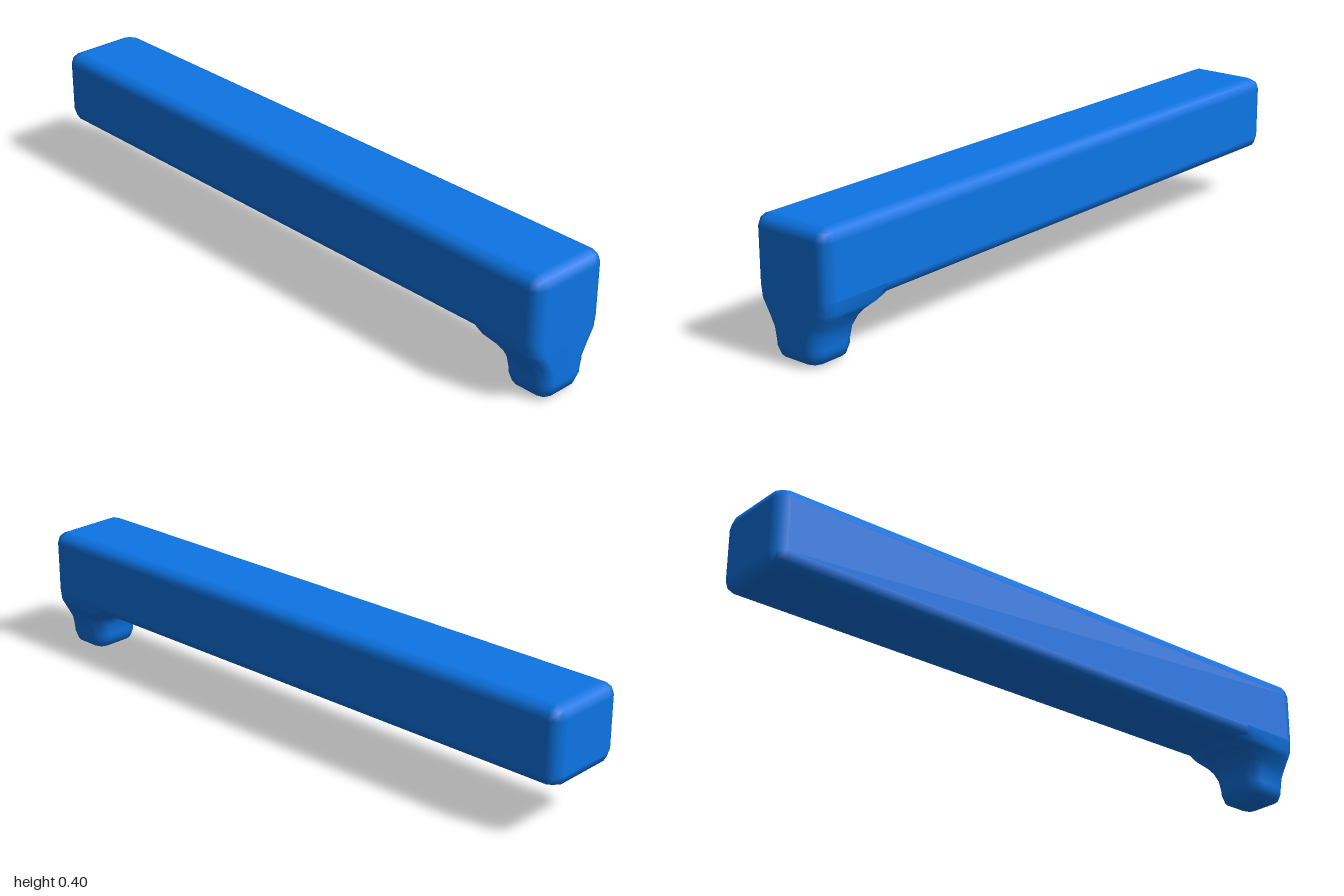
import * as THREE from 'three';
import { RoundedBoxGeometry } from 'three/addons/geometries/RoundedBoxGeometry.js';

// Rows of the foot from top to bottom: y, half width, back z, front z, front and back corner radius
const FOOT_ROWS = [
  [0.198, 0.133, 0.70, 1, 0.038, 0.08],
  [0.16, 0.128, 0.74, 1, 0.038, 0.075],
  [0.145, 0.119, 0.79, 1, 0.038, 0.065],
  [0.118, 0.103, 0.832, 1, 0.038, 0.05],
  [0.088, 0.087, 0.845, 1, 0.038, 0.04],
  [0.052, 0.081, 0.85, 1, 0.038, 0.038],
  [0.038, 0.08, 0.85, 1, 0.038, 0.038],
  [0.012, 0.07, 0.861, 0.989, 0.027, 0.027],
  [0, 0.042, 0.888, 0.962, 0.004, 0.004],
];

// Rounded rectangle in plan, two segments per corner
function section([y, w, back, front, rf, rb]) {
  const corners = [
    [w - rf, front - rf, rf, 0],
    [-w + rf, front - rf, rf, 1],
    [-w + rb, back + rb, rb, 2],
    [w - rb, back + rb, rb, 3],
  ];
  const points = [];
  for (const [cx, cz, r, quarter] of corners) {
    for (let i = 0; i <= 2; i++) {
      const a = (quarter + i / 2) * Math.PI / 2;
      points.push([cx + r * Math.cos(a), y, cz + r * Math.sin(a)]);
    }
  }
  return points;
}

// Skin over a stack of sections, closed at the bottom
function loft(rows) {
  const rings = rows.map(section);
  const n = rings[0].length;
  const index = [];
  for (let j = 0; j < rings.length - 1; j++) {
    for (let i = 0; i < n; i++) {
      const a = j * n + i, b = j * n + (i + 1) % n;
      index.push(a, b, a + n, b, b + n, a + n);
    }
  }
  const last = (rings.length - 1) * n;
  for (let i = 1; i < n - 1; i++) index.push(last, last + i, last + i + 1);
  const geometry = new THREE.BufferGeometry();
  geometry.setAttribute('position', new THREE.Float32BufferAttribute(rings.flat(2), 3));
  geometry.setIndex(index);
  geometry.computeVertexNormals();
  return geometry;
}

export function createModel() {
  const group = new THREE.Group();
  const blue = new THREE.MeshStandardMaterial({ color: 0x0d75e6 });

  // Long bar with softened edges
  const bar = new THREE.Mesh(new RoundedBoxGeometry(0.266, 0.235, 2, 1, 0.038), blue);
  bar.position.y = 0.2775;
  bar.name = 'bar';

  // Foot flaring into the front end of the bar
  const foot = new THREE.Mesh(loft(FOOT_ROWS), blue);
  foot.name = 'foot';

  group.add(bar, foot);
  return group;
}
